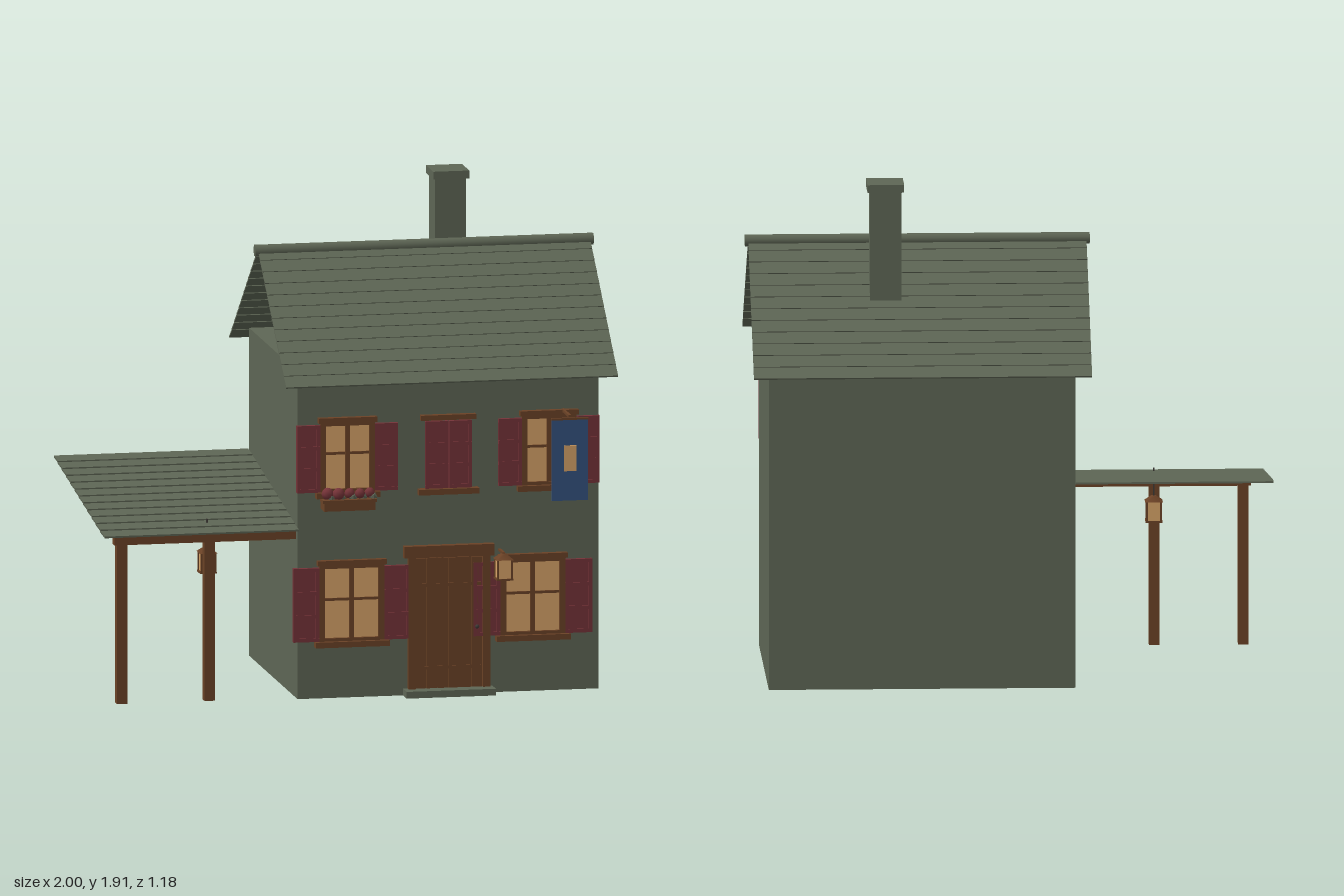
import * as THREE from 'three';

const mat = (name, color) => {
  const m = new THREE.MeshStandardMaterial({ color });
  m.name = name;
  return m;
};

export function createModel() {
  const stone = mat('mossy stone', 0x5e6655);
  const wood = mat('brown wood', 0x6b4226);
  const red = mat('dark red', 0x753338);
  const amber = mat('amber glass', 0xd8a468);
  const blue = mat('blue cloth', 0x34527f);
  const iron = mat('dark iron', 0x3d3a36);

  const house = new THREE.Group();
  house.name = 'cottage';

  const group = (name, parent = house) => {
    const g = new THREE.Group();
    g.name = name;
    parent.add(g);
    return g;
  };
  const add = (parent, name, geo, material, x = 0, y = 0, z = 0) => {
    const m = new THREE.Mesh(geo, material);
    m.name = name;
    m.position.set(x, y, z);
    parent.add(m);
    return m;
  };
  // box given by its limits on each axis
  const box = (parent, name, material, x0, x1, y0, y1, z0, z1) =>
    add(parent, name, new THREE.BoxGeometry(x1 - x0, y1 - y0, z1 - z0), material,
      (x0 + x1) / 2, (y0 + y1) / 2, (z0 + z1) / 2);

  const W = 0.44; // front wall plane

  // walls and chimney
  box(house, 'walls', stone, -0.245, 0.925, 0, 1.27, -0.5, W);
  const chimney = group('chimney');
  box(chimney, 'chimneyStack', stone, 0.41, 0.53, 1.27, 1.89, -0.28, -0.16);
  box(chimney, 'chimneyCap', stone, 0.4, 0.54, 1.885, 1.915, -0.29, -0.145);

  // roof slope of overlapping rows, running down along local +z from its top edge
  const slope = (name, width, run, drop, rows, x, y, z) => {
    const g = group(name);
    g.position.set(x, y, z);
    const tilt = group(name + 'Rows', g);
    tilt.rotation.x = Math.atan2(drop, run);
    const step = Math.hypot(run, drop) / rows;
    for (let i = 0; i < rows; i++) {
      const len = i ? step * 1.15 : step;
      const row = add(tilt, 'shingleRow', new THREE.BoxGeometry(width, 0.007, len), stone,
        0, 0, (i + 1) * step - len / 2);
      row.rotation.x = -0.06;
    }
    return g;
  };
  slope('frontRoof', 1.29, 0.55, 0.44, 12, 0.34, 1.66, -0.03);
  slope('backRoof', 1.29, 0.555, 0.44, 12, 0.34, 1.66, -0.03).rotation.y = Math.PI;
  const ridge = add(house, 'ridgeCap', new THREE.CylinderGeometry(0.023, 0.023, 1.315, 8), stone, 0.34, 1.656, -0.03);
  ridge.rotation.set(Math.PI / 8, 0, Math.PI / 2);

  // lean-to shelter
  slope('shelterRoof', 0.755, 0.99, 0.142, 12, -0.6225, 0.798, -0.52);
  const shelter = group('shelterFrame');
  box(shelter, 'shelterBeam', wood, -0.95, -0.245, 0.615, 0.655, 0.37, 0.41);
  for (const x of [-0.92, -0.58]) box(shelter, 'shelterPost', wood, x - 0.02, x + 0.02, 0, 0.62, 0.37, 0.41);

  // shutter leaf with raised rails and stiles
  const shutter = (parent, x0, x1, y0, y1) => {
    box(parent, 'shutter', red, x0, x1, y0, y1, W - 0.005, W + 0.012);
    for (let i = 0; i < 4; i++) {
      const y = y0 + (y1 - y0 - 0.014) * i / 3;
      box(parent, 'shutterRail', red, x0, x1, y, y + 0.014, W + 0.01, W + 0.017);
    }
    for (const x of [x0, x1 - 0.014]) box(parent, 'shutterStile', red, x, x + 0.014, y0, y1, W + 0.01, W + 0.016);
  };
  const lintelAndSill = (g, cx, hw, y0, y1) => {
    box(g, 'windowLintel', wood, cx - hw, cx + hw, y1, y1 + 0.02, W, W + 0.025);
    box(g, 'windowSill', wood, cx - hw - 0.01, cx + hw + 0.01, y0 - 0.022, y0, W, W + 0.035);
  };
  // glazed window with frame, cross bars and two open shutters
  const windowUnit = (name, cx, hw, y0, y1, sw) => {
    const g = group(name);
    box(g, 'windowPane', amber, cx - hw, cx + hw, y0, y1, W, W + 0.006);
    for (const s of [-1, 1]) {
      const a = cx + s * (hw - 0.008), b = cx + s * (hw + 0.014);
      box(g, 'windowJamb', wood, Math.min(a, b), Math.max(a, b), y0, y1, W, W + 0.018);
      const c = cx + s * (hw + 0.014), d = cx + s * (hw + 0.014 + sw);
      shutter(g, Math.min(c, d), Math.max(c, d), y0, y1 - 0.008);
    }
    for (const y of [y0, y1 - 0.012]) box(g, 'windowRail', wood, cx - hw, cx + hw, y, y + 0.012, W, W + 0.018);
    const my = (y0 + y1) / 2 + 0.015;
    box(g, 'windowMullion', wood, cx - 0.009, cx + 0.009, y0, y1, W, W + 0.015);
    box(g, 'windowCrossBar', wood, cx - hw, cx + hw, my - 0.005, my + 0.005, W, W + 0.013);
    lintelAndSill(g, cx, hw + 0.022, y0, y1);
  };
  windowUnit('lowerRightWindow', -0.037, 0.112, 0.222, 0.515, 0.1);
  windowUnit('lowerLeftWindow', 0.667, 0.112, 0.222, 0.515, 0.105);
  windowUnit('upperRightWindow', -0.053, 0.092, 0.8, 1.068, 0.09);
  windowUnit('upperLeftWindow', 0.73, 0.092, 0.8, 1.068, 0.09);

  // closed window
  const closed = group('closedWindow');
  shutter(closed, 0.25, 0.338, 0.8, 1.06);
  shutter(closed, 0.342, 0.43, 0.8, 1.06);
  lintelAndSill(closed, 0.338, 0.107, 0.8, 1.065);

  // flower box
  const flowers = group('flowerBox');
  box(flowers, 'planter', wood, -0.155, 0.045, 0.735, 0.772, W, 0.51);
  box(flowers, 'planterRim', wood, -0.16, 0.05, 0.766, 0.778, W + 0.01, 0.514);
  [-0.135, -0.095, -0.05, -0.012, 0.028].forEach((x, i) => {
    add(flowers, 'leaves', new THREE.IcosahedronGeometry(0.018, 0), stone, x + 0.012, 0.782, 0.482);
    add(flowers, 'blossom', new THREE.SphereGeometry(i < 2 ? 0.024 : 0.02, 8, 6), red, x, 0.798, 0.478 + (i % 2) * 0.01);
  });

  // door
  const door = group('door');
  for (let i = 0; i < 6; i++) {
    const x = 0.21 + i * 0.0437;
    box(door, 'doorPlank', wood, x, x + 0.0405, 0.025, 0.53, W, W + 0.012);
  }
  box(door, 'doorBacking', wood, 0.2, 0.48, 0.025, 0.53, W, W + 0.005);
  for (const y of [0.1, 0.42]) box(door, 'doorBatten', wood, 0.215, 0.465, y, y + 0.012, W + 0.01, W + 0.015);
  for (const x of [0.183, 0.472]) box(door, 'doorPost', wood, x, x + 0.028, 0.02, 0.54, W, W + 0.022);
  box(door, 'doorLintel', wood, 0.165, 0.515, 0.535, 0.58, W, W + 0.03);
  add(door, 'doorKnob', new THREE.SphereGeometry(0.008, 8, 6), iron, 0.45, 0.26, W + 0.018);
  box(house, 'doorstep', stone, 0.165, 0.512, 0, 0.026, W, 0.512);

  // lantern with its glass centred on the given point
  const lantern = (name, x, y, z) => {
    const g = group(name);
    g.position.set(x, y, z);
    box(g, 'lanternGlass', amber, -0.026, 0.026, -0.036, 0.036, -0.026, 0.026);
    for (const sx of [-1, 1]) for (const sz of [-1, 1])
      add(g, 'lanternPost', new THREE.BoxGeometry(0.007, 0.076, 0.007), wood, sx * 0.027, 0, sz * 0.027);
    box(g, 'lanternBase', wood, -0.032, 0.032, -0.043, -0.036, -0.032, 0.032);
    const cap = add(g, 'lanternCap', new THREE.CylinderGeometry(0.012, 0.048, 0.022, 4), wood, 0, 0.047, 0);
    cap.rotation.y = Math.PI / 4;
    return g;
  };
  const doorLantern = lantern('doorLantern', 0.54, 0.493, 0.52);
  box(doorLantern, 'lanternBracket', wood, -0.005, 0.005, 0.055, 0.063, -0.08, 0.006);
  const strut = box(doorLantern, 'lanternStrut', wood, -0.004, 0.004, 0.025, 0.033, -0.083, -0.033);
  strut.rotation.x = -0.7;
  const shelterLantern = lantern('shelterLantern', -0.577, 0.528, 0.34);
  box(shelterLantern, 'lanternHook', iron, -0.003, 0.003, 0.05, 0.165, -0.003, 0.003);

  // hanging banner
  const banner = group('banner');
  box(banner, 'bannerRod', wood, 0.78, 0.79, 1.08, 1.09, W, 0.585);
  box(banner, 'bannerBar', wood, 0.713, 0.857, 1.07, 1.078, 0.572, 0.582);
  box(banner, 'bannerCloth', blue, 0.716, 0.855, 0.758, 1.075, 0.573, 0.581);
  box(banner, 'bannerPatch', amber, 0.762, 0.81, 0.873, 0.972, 0.58, 0.588);

  return house;
}
